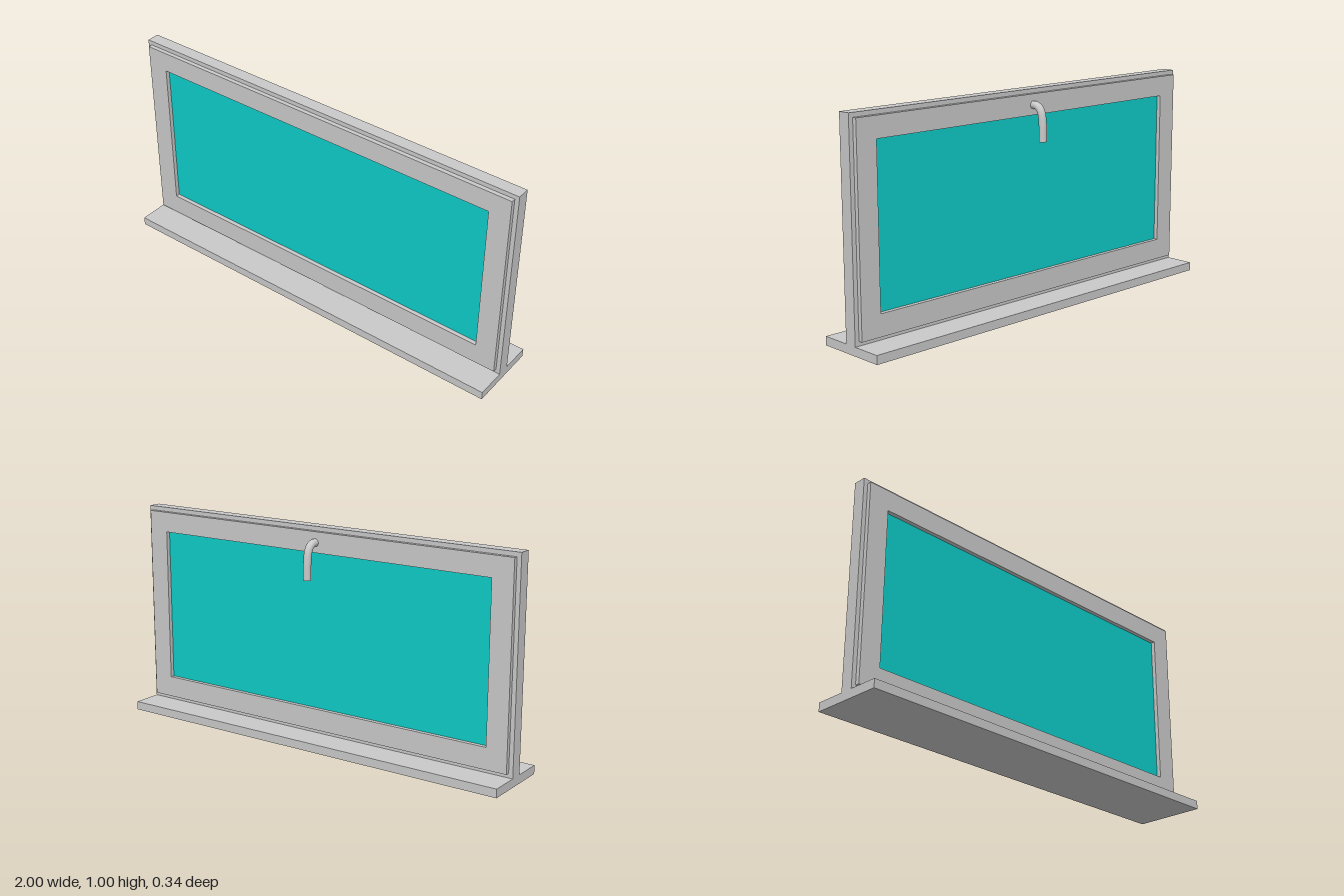
import * as THREE from 'three';

const frameGrey = new THREE.MeshStandardMaterial({ color: 0xc9c9c9 });
frameGrey.name = 'frame grey';
const glassTeal = new THREE.MeshStandardMaterial({ color: 0x0ecbc7 });
glassTeal.name = 'glass teal';

// Rectangular ring given as [halfWidth, bottom, top], extruded symmetrically in z
function ringGeometry([w, y0, y1], [hw, h0, h1], depth) {
  const corners = (hx, a, b) => [[-hx, a], [hx, a], [hx, b], [-hx, b]].map(([x, y]) => new THREE.Vector2(x, y));
  const shape = new THREE.Shape(corners(w, y0, y1));
  shape.holes.push(new THREE.Path(corners(hw, h0, h1).reverse()));
  const geometry = new THREE.ExtrudeGeometry(shape, { depth, bevelEnabled: false });
  return geometry.translate(0, 0, -depth / 2);
}

export function createModel() {
  const model = new THREE.Group();
  model.name = 'window';
  const add = (name, geometry, material, parent = model) => {
    const mesh = new THREE.Mesh(geometry, material);
    mesh.name = name;
    parent.add(mesh);
    return mesh;
  };

  // Sill running under the window on both sides
  add('sill', new THREE.BoxGeometry(2, 0.04, 0.34), frameGrey).position.y = 0.02;

  // Fixed outer frame and the thicker sash it holds
  add('outerFrame', ringGeometry([1, 0.04, 1], [0.98, 0.06, 0.98], 0.06), frameGrey);
  add('sash', ringGeometry([0.98, 0.06, 0.98], [0.88, 0.16, 0.885], 0.1), frameGrey);

  // Glass pane recessed in the sash
  add('glass', new THREE.BoxGeometry(1.76, 0.725, 0.06), glassTeal).position.y = 0.5225;

  // Bent handle on the back of the top rail
  const handle = new THREE.Group();
  handle.name = 'handle';
  model.add(handle);
  const path = new THREE.CatmullRomCurve3([
    [0.931, -0.045], [0.93, -0.069], [0.92, -0.088], [0.9, -0.101], [0.855, -0.1085], [0.772, -0.11],
  ].map(([y, z]) => new THREE.Vector3(0, y, z)));
  add('handleBar', new THREE.TubeGeometry(path, 32, 0.0178, 24), frameGrey, handle);
  const cap = add('handleEnd', new THREE.CircleGeometry(0.0178, 24), frameGrey, handle);
  cap.position.copy(path.getPoint(1));
  cap.lookAt(path.getPoint(1).add(path.getTangent(1)));

  return model;
}
